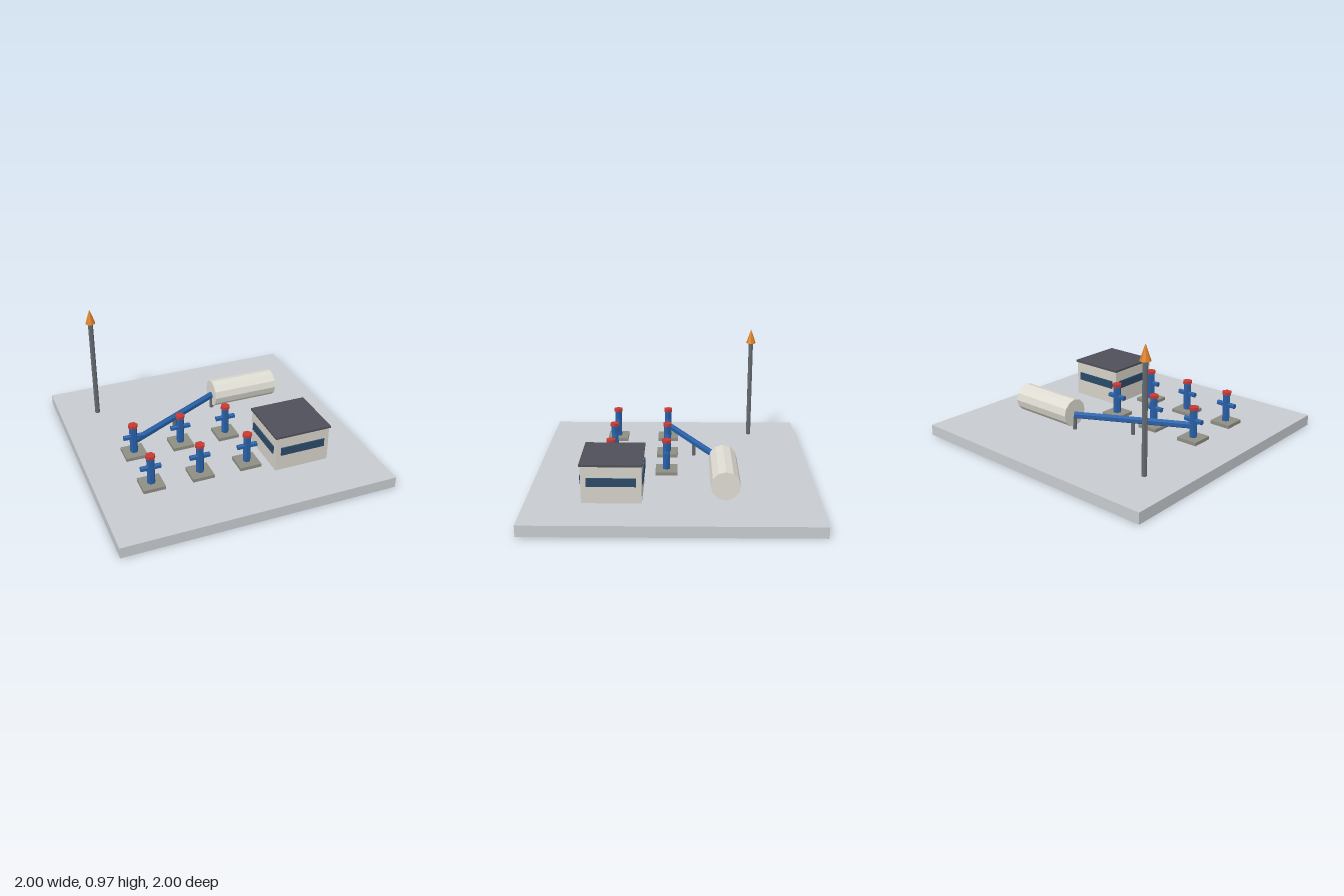
import * as THREE from 'three';

const mat = (color) => new THREE.MeshStandardMaterial({ color, flatShading: true });
const M = {
  ground: mat(0xc8ccd0), pad: mat(0x8e8e84), blue: mat(0x2860a8), red: mat(0xc83a34),
  wall: mat(0xd4d2c8), roof: mat(0x4e505a), glass: mat(0x2b4a68),
  steel: mat(0x666a70), orange: mat(0xdd7f22), tank: mat(0xdedcd2),
};
const GROUND = 0.08;

function add(parent, name, geometry, material, x, y, z) {
  const mesh = new THREE.Mesh(geometry, material);
  mesh.name = name;
  mesh.position.set(x, y, z);
  parent.add(mesh);
  return mesh;
}

// Box given by its centre in plan and its bottom height
function box(parent, name, w, h, d, material, x, bottom, z) {
  return add(parent, name, new THREE.BoxGeometry(w, h, d), material, x, bottom + h / 2, z);
}

// Upright prism with corners pointing along x
function post(parent, name, r, bottom, top, material, x, z, sides = 6) {
  const g = new THREE.CylinderGeometry(r, r, top - bottom, sides).rotateY(Math.PI / 2);
  return add(parent, name, g, material, x, (bottom + top) / 2, z);
}

// Pipe between two points
function pipe(parent, name, r, a, b, material, sides = 6) {
  const dir = b.clone().sub(a);
  const g = new THREE.CylinderGeometry(r, r, dir.length(), sides).rotateX(Math.PI / 2);
  const mid = a.clone().add(b).multiplyScalar(0.5);
  const mesh = add(parent, name, g, material, mid.x, mid.y, mid.z);
  mesh.lookAt(b);
  return mesh;
}

// Wellhead: concrete pad, stem, cross pipe and hand wheel
function wellhead(x, z) {
  const g = new THREE.Group();
  g.name = 'wellhead';
  box(g, 'pad', 0.16, 0.025, 0.16, M.pad, 0, GROUND, 0);
  post(g, 'stem', 0.029, 0.1, 0.312, M.blue, 0, 0);
  pipe(g, 'crossPipe', 0.02, new THREE.Vector3(-0.073, 0.23, 0), new THREE.Vector3(0.073, 0.23, 0), M.blue);
  post(g, 'valveWheel', 0.036, 0.31, 0.332, M.red, 0, 0);
  g.position.set(x, 0, z);
  return g;
}

// Control building with a band of windows on each side
function building() {
  const g = new THREE.Group();
  g.name = 'building';
  box(g, 'walls', 0.41, 0.266, 0.41, M.wall, 0, GROUND, 0);
  box(g, 'roof', 0.427, 0.015, 0.427, M.roof, 0, 0.345, 0);
  box(g, 'frontAndBackWindows', 0.336, 0.06, 0.43, M.glass, 0, 0.203, 0);
  box(g, 'sideWindows', 0.43, 0.06, 0.336, M.glass, 0, 0.203, 0);
  g.position.set(0.456, 0, 0.41);
  return g;
}

export function createModel() {
  const model = new THREE.Group();
  model.name = 'wellSite';

  box(model, 'ground', 2, GROUND, 2, M.ground, 0, 0, 0);

  for (const z of [0.05, 0.455])
    for (const x of [-0.615, -0.257, 0.1]) model.add(wellhead(x, z));

  model.add(building());

  // Storage tank lying along x
  add(model, 'tank', new THREE.CylinderGeometry(0.102, 0.102, 0.51, 12).rotateZ(Math.PI / 2),
    M.tank, 0.405, 0.207, -0.357);

  // Flow line from the first wellhead to the tank, with its supports
  const start = new THREE.Vector3(-0.615, 0.19, 0.05);
  const end = new THREE.Vector3(0.152, 0.19, -0.357);
  pipe(model, 'flowLine', 0.026, start, end, M.blue);
  for (const t of [0.5, 1]) {
    const p = start.clone().lerp(end, t);
    post(model, 'pipeSupport', 0.016, GROUND, 0.18, M.steel, p.x, p.z);
  }

  // Flare stack with a faceted flame
  post(model, 'flareStack', 0.019, GROUND, 0.86, M.steel, -0.717, -0.612);
  add(model, 'flame', new THREE.ConeGeometry(0.038, 0.112, 8), M.orange, -0.717, 0.911, -0.612);

  return model;
}
